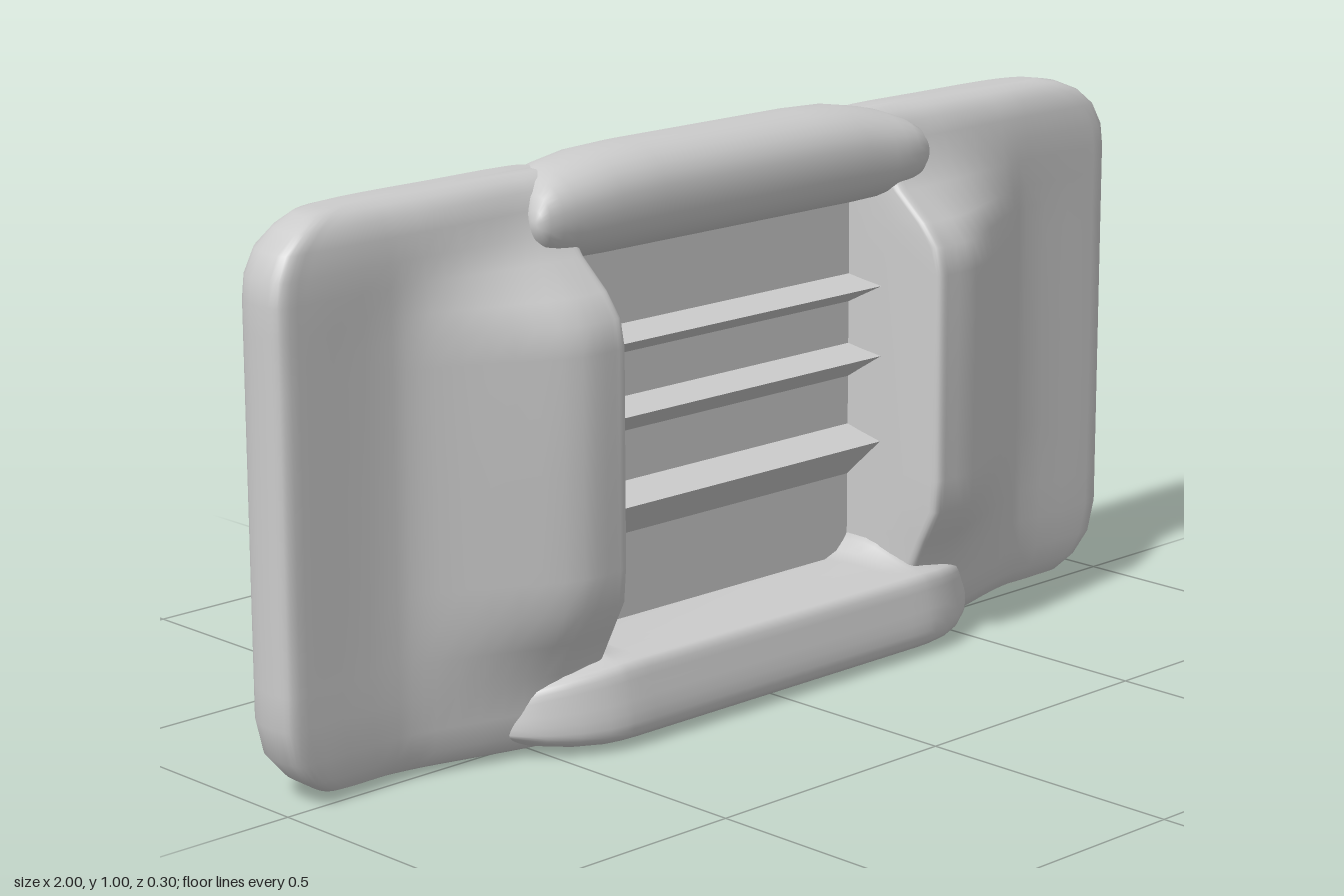
import * as THREE from 'three';

const grey = new THREE.MeshStandardMaterial({ color: 0xcccccc });
const sheet = new THREE.MeshStandardMaterial({ color: 0xcccccc, side: THREE.DoubleSide });

// Skin a list of closed rings (arrays of Vector3) and cap both ends
function loft(rings, flip = false) {
  const n = rings[0].length, pos = [], idx = [];
  const tri = (a, b, c) => (flip ? idx.push(a, c, b) : idx.push(a, b, c));
  rings.forEach(r => r.forEach(p => pos.push(p.x, p.y, p.z)));
  for (let r = 0; r < rings.length - 1; r++) {
    for (let i = 0; i < n; i++) {
      const a = r * n + i, b = r * n + (i + 1) % n;
      tri(a, b, b + n);
      tri(a, b + n, a + n);
    }
  }
  [0, rings.length - 1].forEach((r, end) => {
    const c = new THREE.Vector3();
    rings[r].forEach(p => c.addScaledVector(p, 1 / n));
    const k = pos.length / 3;
    pos.push(c.x, c.y, c.z);
    for (let i = 0; i < n; i++) {
      const a = r * n + i, b = r * n + (i + 1) % n;
      end ? tri(a, b, k) : tri(b, a, k);
    }
  });
  const g = new THREE.BufferGeometry();
  g.setAttribute('position', new THREE.Float32BufferAttribute(pos, 3));
  g.setIndex(idx);
  g.computeVertexNormals();
  return g;
}

// Round a ring of control points
const smoothRing = (pts, per = 3) =>
  new THREE.CatmullRomCurve3(pts, true, 'centripetal').getPoints(pts.length * per).slice(0, -1);

// Repeat rows for x >= 0 on the other side
const mirrorRows = half => [...half.slice(1).reverse().map(([x, ...r]) => [-x, ...r]), ...half];

function add(group, name, geometry, material = grey) {
  const m = new THREE.Mesh(geometry, material);
  m.name = name;
  group.add(m);
}

// Side block: horizontal sections, the inner half swelling forward
// row = [y, outer inset, back z, front z, bulge z]
const sideRows = [
  [0.005, 0.14, -0.105, -0.03, 0.04], [0.015, 0.09, -0.125, -0.01, 0.06], [0.04, 0.05, -0.14, 0.002, 0.075],
  [0.08, 0.015, -0.148, 0.008, 0.08], [0.14, 0, -0.149, 0.01, 0.085], [0.2, 0, -0.149, 0.01, 0.115],
  [0.26, 0, -0.149, 0.01, 0.145], [0.32, 0, -0.149, 0.01, 0.15], [0.5, 0, -0.149, 0.01, 0.15],
  [0.7, 0, -0.149, 0.01, 0.15], [0.75, 0, -0.149, 0.01, 0.14], [0.79, 0, -0.149, 0.01, 0.108],
  [0.84, 0, -0.149, 0.01, 0.05], [0.88, 0.005, -0.149, 0.009, 0.02], [0.92, 0.025, -0.145, 0.004, 0.005],
  [0.95, 0.06, -0.135, -0.005, -0.005], [0.968, 0.1, -0.125, -0.025, -0.025], [0.975, 0.14, -0.105, -0.045, -0.045],
];

function sideBlock(s) {
  const rings = sideRows.map(([y, o, b, f, z]) => {
    const X = 1 - o, d = f - b;
    const ring = [
      [0.38, b + 0.035], [0.388, b + 0.01], [0.415, b], [0.6, b], [X - 0.13, b], [X - 0.05, b + d * 0.12],
      [X - 0.008, b + d * 0.4], [X, f - d * 0.15], [X - 0.012, f - d * 0.02], [X - 0.06, f], [0.77, f],
      [0.7, f + (z - f) * 0.16], [0.58, f + (z - f) * 0.62], [0.48, z - 0.003], [0.41, z], [0.388, z - 0.002],
      [0.38, z - 0.015],
    ].map(([x, zz]) => new THREE.Vector3(s * x, y, zz));
    return smoothRing(ring);
  });
  return loft(rings, s > 0);
}

// Top roll: rows = [x, centre y, half height, centre z, half depth]
function topRoll() {
  const rows = mirrorRows([
    [0, 0.909, 0.091, -0.047, 0.103], [0.2, 0.909, 0.091, -0.047, 0.103], [0.3, 0.907, 0.089, -0.047, 0.103],
    [0.37, 0.902, 0.082, -0.047, 0.102], [0.4, 0.902, 0.075, -0.038, 0.092], [0.43, 0.902, 0.062, -0.01, 0.062],
    [0.455, 0.901, 0.045, 0.012, 0.034], [0.468, 0.9, 0.025, 0.02, 0.02], [0.472, 0.9, 0.008, 0.022, 0.008],
  ]);
  const pw = v => Math.sign(v) * Math.abs(v) ** 0.87;
  return loft(rows.map(([x, cy, hy, cz, hz]) => Array.from({ length: 28 }, (_, i) => {
    const a = i / 28 * Math.PI * 2;
    return new THREE.Vector3(x, cy + hy * pw(Math.cos(a)), cz + hz * pw(Math.sin(a)));
  })));
}

// Lower bar with fillets rising to the blocks behind its lip
// rows = [x, top y, front z, bottom y, back z, fillet height]
function lowerBar() {
  const rows = mirrorRows([
    [0, 0.146, 0.15, 0, -0.149, 0], [0.32, 0.146, 0.15, 0, -0.149, 0], [0.35, 0.146, 0.15, 0, -0.149, 0.01],
    [0.37, 0.146, 0.149, 0, -0.149, 0.028], [0.385, 0.145, 0.148, 0, -0.146, 0.05],
    [0.42, 0.142, 0.143, 0.001, -0.12, 0.03], [0.47, 0.135, 0.125, 0.004, -0.1, 0], [0.52, 0.123, 0.095, 0.01, -0.09, 0],
    [0.56, 0.108, 0.06, 0.018, -0.08, 0], [0.6, 0.09, 0.015, 0.03, -0.07, 0],
  ]);
  return loft(rows.map(([x, t, f, b, k, e]) => {
    const h = t - b;
    return smoothRing([
      [k + 0.045, t - 0.012 + e], [-0.02, t + e], [f * 0.35, t + e * 0.4], [f - 0.05, t], [f - 0.022, t - 0.006],
      [f - 0.01, b + h * 0.7], [f, b + h * 0.3], [f - 0.008, b + 0.018], [f - 0.05, b + 0.005], [-0.03, b],
      [k + 0.035, b + 0.004], [k + 0.01, b + 0.025], [k, b + h * 0.45], [k + 0.014, b + h * 0.72 + e * 0.5],
    ].map(([z, y]) => new THREE.Vector3(x, y, z)));
  }));
}

// Louvred panel: one folded sheet, each louvre kicked forward then sloping back
function louvrePanel() {
  const back = -0.072, tip = 0.012, w = 0.385;
  const path = [[0.88, back]];
  [[0.672, 0.662, 0.62], [0.542, 0.532, 0.48], [0.39, 0.372, 0.295]].forEach(([top, nose, low]) =>
    path.push([top, back], [nose, tip], [low, back]));
  path.push([0.1, back]);
  const pos = [];
  for (let i = 0; i < path.length - 1; i++) {
    const [y0, z0] = path[i], [y1, z1] = path[i + 1];
    pos.push(-w, y0, z0, -w, y1, z1, w, y1, z1, -w, y0, z0, w, y1, z1, w, y0, z0);
  }
  const g = new THREE.BufferGeometry();
  g.setAttribute('position', new THREE.Float32BufferAttribute(pos, 3));
  g.computeVertexNormals();
  return g;
}

export function createModel() {
  const group = new THREE.Group();
  group.name = 'grilleFront';
  add(group, 'leftBlock', sideBlock(1));
  add(group, 'rightBlock', sideBlock(-1));
  add(group, 'topRoll', topRoll());
  add(group, 'lowerBar', lowerBar());
  add(group, 'louvrePanel', louvrePanel(), sheet);
  return group;
}
